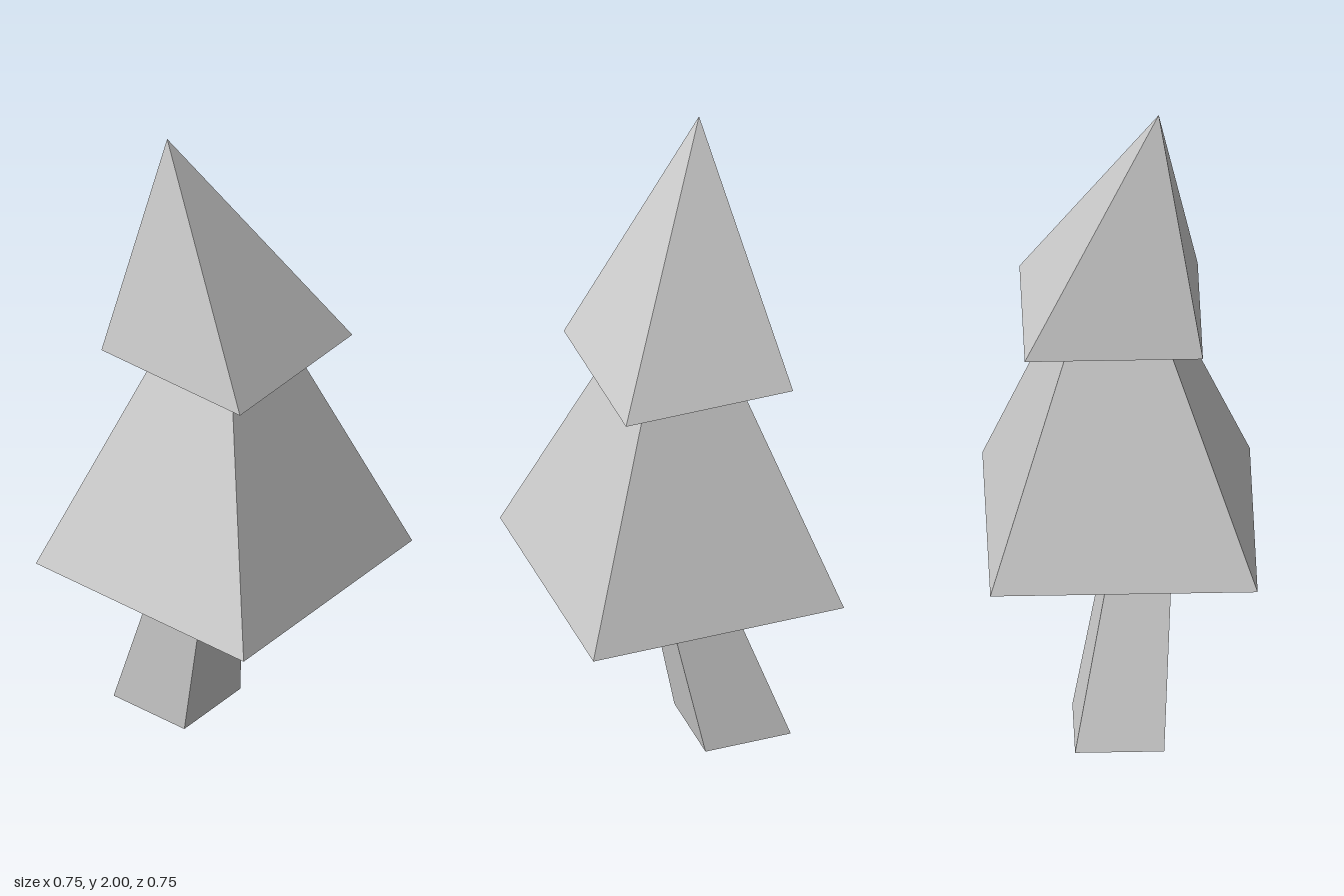
import * as THREE from 'three';

// Four corners of a level rectangle, counter-clockwise seen from below
const rect = (y, x0, x1, z0, z1) => [[x0, y, z0], [x1, y, z0], [x1, y, z1], [x0, y, z1]];

// Flat-faced solid between two four-corner rings; a ring may shrink to an apex
function taperedSolid(bottom, top, pointed) {
  const positions = [];
  const tri = (a, b, c) => positions.push(...a, ...b, ...c);
  tri(bottom[0], bottom[1], bottom[2]);
  tri(bottom[0], bottom[2], bottom[3]);
  for (let i = 0; i < 4; i++) {
    const j = (i + 1) % 4;
    tri(bottom[j], bottom[i], top[i]);
    if (!pointed) tri(bottom[j], top[i], top[j]);
  }
  if (!pointed) {
    tri(top[0], top[2], top[1]);
    tri(top[0], top[3], top[2]);
  }
  const geometry = new THREE.BufferGeometry();
  geometry.setAttribute('position', new THREE.Float32BufferAttribute(positions, 3));
  geometry.computeVertexNormals();
  return geometry;
}

const pyramid = (base, apex) => taperedSolid(base, Array(4).fill(apex), true);

export function createModel() {
  const model = new THREE.Group();
  model.name = 'tree';
  const grey = new THREE.MeshStandardMaterial({ color: 0xcccccc });
  grey.name = 'light grey';

  const add = (name, geometry) => {
    const mesh = new THREE.Mesh(geometry, grey);
    mesh.name = name;
    model.add(mesh);
  };

  // Leaning, tapered trunk whose top is tucked into the lower foliage
  add('trunk', taperedSolid(
    rect(0, -0.305, -0.05, -0.135, 0.115),
    rect(0.7, -0.065, 0.073, 0.006, 0.152), false));

  // Lower foliage, its tip hidden in the upper tier
  add('lowerFoliage', pyramid(rect(0.57, -0.375, 0.375, -0.375, 0.375), [-0.008, 1.65, -0.015]));

  // Upper foliage with an off-centre tip
  add('upperFoliage', pyramid(rect(1.275, -0.26, 0.24, -0.275, 0.225), [-0.12, 2, 0.105]));

  return model;
}
